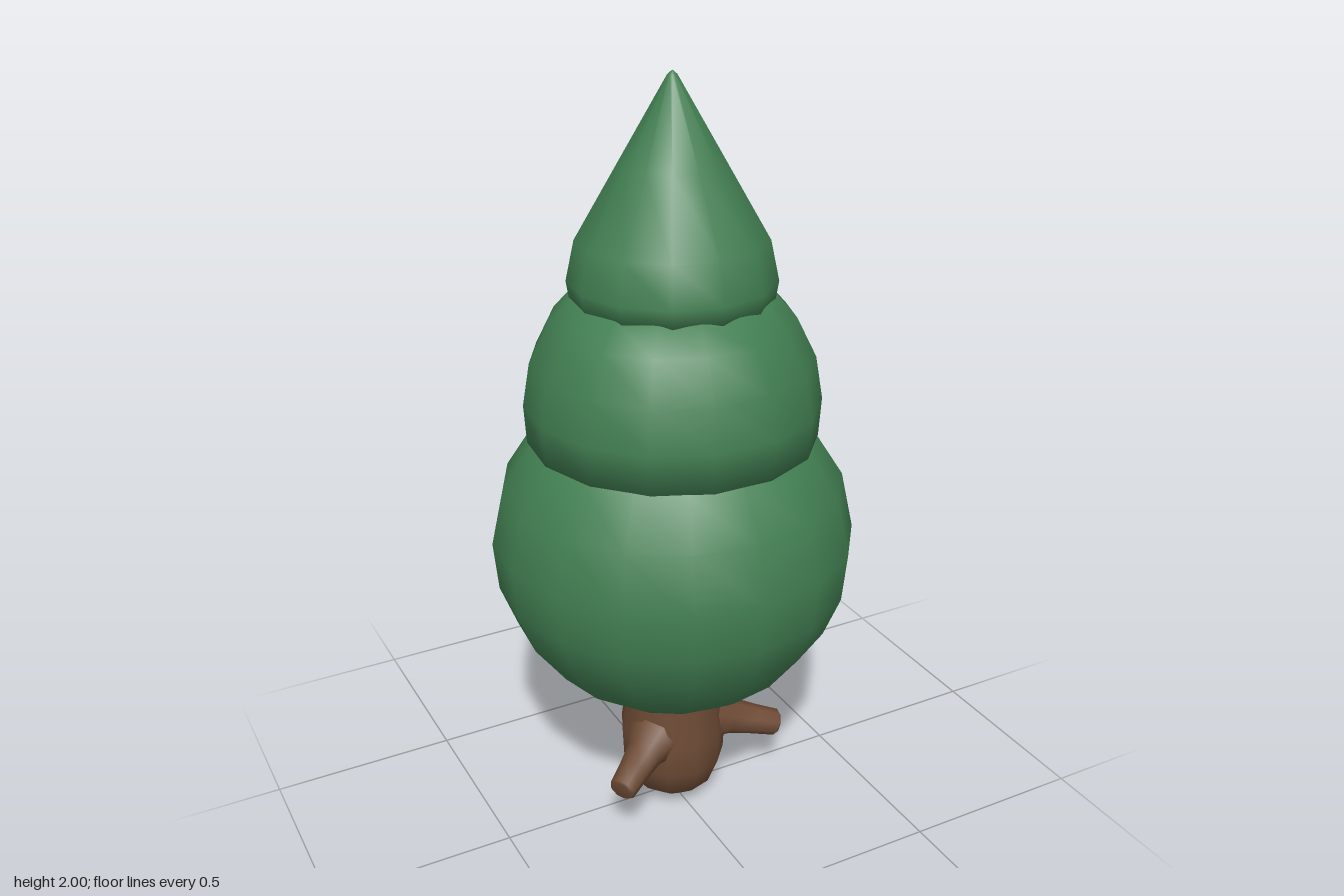
import * as THREE from 'three';

const leafGreen = new THREE.MeshStandardMaterial({ color: 0x427f52 });
leafGreen.name = 'leafGreen';
const barkBrown = new THREE.MeshStandardMaterial({ color: 0x6f4c36 });
barkBrown.name = 'barkBrown';

// Turned part from [radius, y] points listed bottom to top
function turned(name, profile, sides, material, phase = 0) {
  const points = profile.map(([r, y]) => new THREE.Vector2(r, y));
  const mesh = new THREE.Mesh(new THREE.LatheGeometry(points, sides, phase), material);
  mesh.name = name;
  return mesh;
}

export function createModel() {
  const tree = new THREE.Group();
  tree.name = 'tree';

  // Foliage tiers, each continuing inside the next one
  tree.add(
    turned('lowerFoliage', [
      [0, 0.355], [0.11, 0.358], [0.23, 0.4], [0.33, 0.475], [0.415, 0.59],
      [0.458, 0.7], [0.47, 0.83], [0.437, 0.98], [0.36, 1.1], [0.24, 1.19], [0, 1.24],
    ], 17, leafGreen),
    turned('middleFoliage', [
      [0, 1.0], [0.25, 1.03], [0.368, 1.1], [0.374, 1.2], [0.355, 1.31],
      [0.305, 1.41], [0.25, 1.47], [0.13, 1.53], [0, 1.55],
    ], 15, leafGreen, Math.PI),
    turned('topFoliage', [
      [0, 1.38], [0.16, 1.4], [0.25, 1.46], [0.258, 1.51], [0.236, 1.61],
      [0.13, 1.79], [0.012, 1.99], [0, 2.0],
    ], 13, leafGreen),
  );

  // Trunk with a rounded foot
  tree.add(turned('trunk', [
    [0, 0], [0.055, 0.008], [0.113, 0.055], [0.142, 0.13], [0.146, 0.22],
    [0.136, 0.3], [0.136, 0.42],
  ], 11, barkBrown));

  // Three stubby roots, flared where they leave the trunk
  const start = new THREE.Vector3(0, 0.265, 0);
  const up = new THREE.Vector3(0, 1, 0);
  const ends = {
    leftRoot: [0.288, 0.175, 0.09],
    rightRoot: [-0.24, 0.175, 0.165],
    backRoot: [-0.05, 0.175, -0.305],
  };
  for (const [name, end] of Object.entries(ends)) {
    const along = new THREE.Vector3(...end).sub(start);
    const length = along.length();
    const root = turned(name, [
      [0.085, 0.07], [0.07, 0.13], [0.05, 0.175], [0.042, 0.24],
      [0.037, length - 0.006], [0.03, length], [0, length],
    ], 8, barkBrown);
    root.position.copy(start);
    root.quaternion.setFromUnitVectors(up, along.normalize());
    tree.add(root);
  }

  return tree;
}
